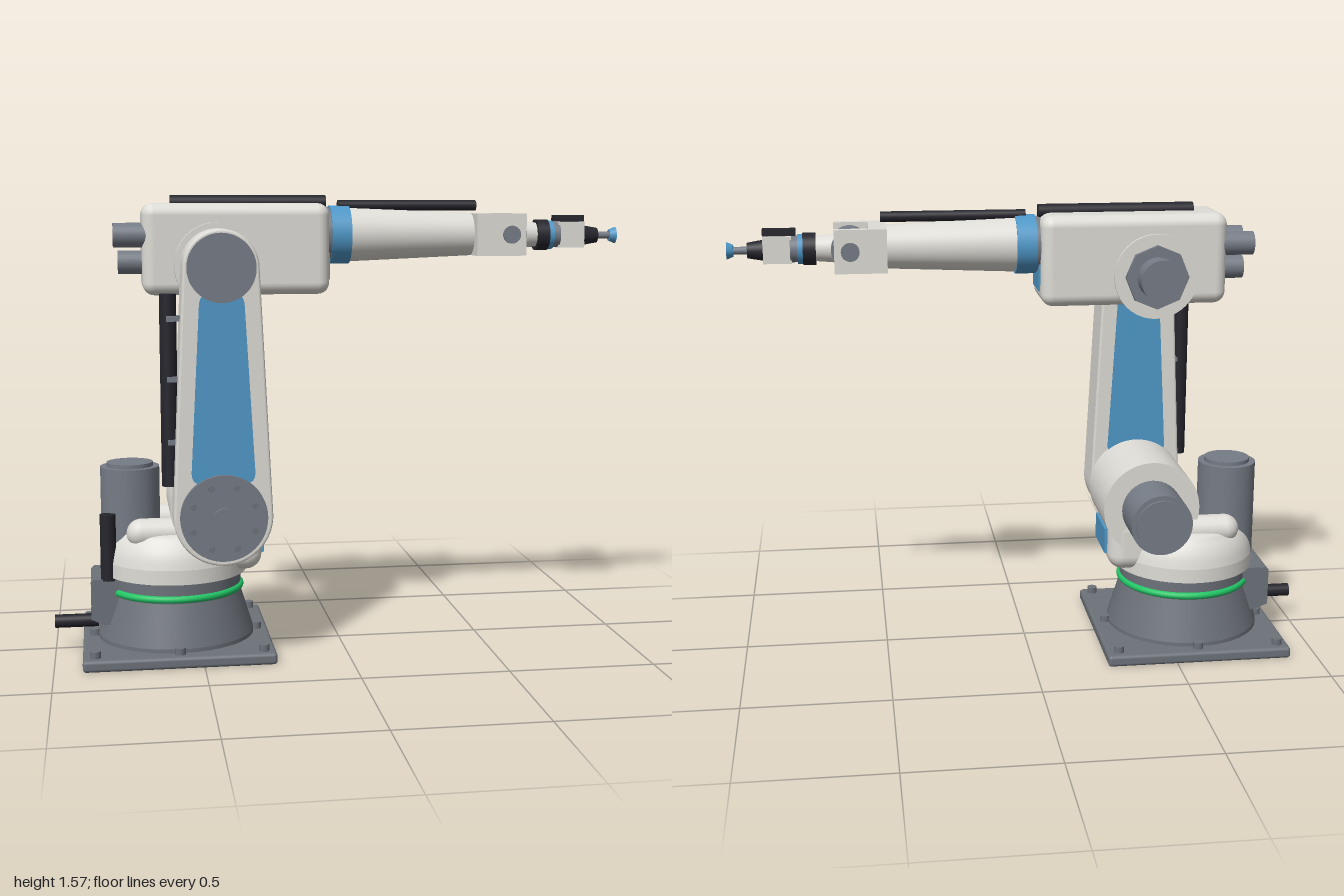
import * as THREE from 'three';
import { RoundedBoxGeometry } from 'three/addons/geometries/RoundedBoxGeometry.js';

const material = (name, color) => {
  const m = new THREE.MeshStandardMaterial({ color });
  m.name = name;
  return m;
};

export function createModel() {
  const model = new THREE.Group();
  model.name = 'robotArm';
  const white = material('warmWhite', 0xdedcd6);
  const grey = material('castGrey', 0x6d727a);
  const steel = material('motorGrey', 0x767c86);
  const dark = material('blackRubber', 0x25252d);
  const blue = material('panelBlue', 0x4f98c8);
  const green = material('signalGreen', 0x22c566);

  const Z = -0.012; // depth of the main axis
  const BX = -0.58; // base axis
  const JX = -0.432, SY = 0.515, EY = 1.338; // shoulder and elbow joints
  const AY = 1.437; // forearm axis

  const add = (name, mat, geometry, x = 0, y = 0, z = 0, parent = model) => {
    const mesh = new THREE.Mesh(geometry, mat);
    mesh.name = name;
    mesh.position.set(x, y, z);
    parent.add(mesh);
    return mesh;
  };
  const box = (name, mat, w, h, d, x, y, z, r = 0) =>
    add(name, mat, r ? new RoundedBoxGeometry(w, h, d, 4, r) : new THREE.BoxGeometry(w, h, d), x, y, z);
  // Cylinder from a to b along an axis; u and v are its other two coordinates
  const cyl = (name, mat, axis, a, b, u, v, r0, r1 = r0, sides = 40) => {
    const g = new THREE.CylinderGeometry(r1, r0, b - a, sides);
    const m = (a + b) / 2;
    if (axis === 'x') return add(name, mat, g.rotateZ(-Math.PI / 2), m, u, v);
    if (axis === 'z') return add(name, mat, g.rotateX(Math.PI / 2), u, v, m);
    return add(name, mat, g, u, m, v);
  };

  // Base plate, bolts and pedestal
  box('basePlate', grey, 0.65, 0.04, 0.65, BX, 0.022, Z, 0.012);
  for (const i of [-1, 0, 1]) for (const j of [-1, 0, 1]) {
    if (i || j) cyl('baseBolt', grey, 'y', 0.03, 0.065, BX + i * 0.283, Z + j * 0.283, 0.018, 0.018, 12);
  }
  const pedestal = [[0, 0.04], [0.272, 0.04], [0.272, 0.055], [0.228, 0.2], [0.228, 0.275], [0, 0.275]];
  for (let i = 0; i < pedestal.length - 1; i++) {
    add('pedestal', grey, new THREE.LatheGeometry(
      pedestal.slice(i, i + 2).map(p => new THREE.Vector2(...p)), 48), BX, 0, Z);
  }
  add('statusRing', green, new THREE.TorusGeometry(0.226, 0.013, 12, 64).rotateX(Math.PI / 2), BX, 0.215, Z);

  // Connection box with a sloping lower back, and the supply cable
  const connection = new THREE.Shape([[-0.875, 0.125], [-0.83, 0.105], [-0.76, 0.105], [-0.76, 0.265], [-0.865, 0.265], [-0.875, 0.255]]
    .map(p => new THREE.Vector2(...p)));
  add('connectionBox', grey, new THREE.ExtrudeGeometry(connection, { depth: 0.22, bevelEnabled: false }), 0, 0, Z - 0.11);
  cyl('supplyCable', dark, 'x', -1, -0.85, 0.11, 0.04, 0.023);
  cyl('baseCable', dark, 'y', 0.26, 0.49, -0.813, 0.08, 0.027);

  // Turret
  add('turretRim', white, new THREE.CylinderGeometry(0.247, 0.247, 0.05, 48), BX, 0.295, Z);
  const dome = new THREE.SplineCurve([[0.247, 0.32], [0.235, 0.365], [0.21, 0.405], [0.17, 0.43], [0, 0.44]]
    .map(p => new THREE.Vector2(...p)));
  add('turretDome', white, new THREE.LatheGeometry(dome.getPoints(20), 48), BX, 0, Z);
  for (const s of [-1, 1]) {
    add('turretShoulder', white, new THREE.CapsuleGeometry(0.05, 0.27, 8, 20).rotateZ(Math.PI / 2), -0.565, 0.428, Z + s * 0.125);
  }
  box('turretNose', white, 0.27, 0.2, 0.3, -0.42, 0.385, Z, 0.055);
  box('nosePanel', blue, 0.012, 0.09, 0.185, -0.281, 0.385, Z);
  cyl('turretMotor', steel, 'y', 0.3, 0.642, -0.733, Z, 0.102);
  cyl('turretMotorCap', steel, 'y', 0.642, 0.656, -0.733, Z, 0.08);

  // Shoulder housing and motor
  cyl('shoulderHousing', white, 'z', -0.16, 0.155, JX, SY, 0.17, 0.17, 56);
  cyl('shoulderMotor', steel, 'z', -0.335, -0.16, JX, SY, 0.106);
  cyl('shoulderMotorCap', steel, 'z', -0.345, -0.335, JX, SY, 0.09);

  // Lower arm: a hull around the two joint circles
  const R = 0.157, r = 0.117, tilt = Math.asin((R - r) / (EY - SY));
  const armShape = new THREE.Shape();
  armShape.absarc(JX, SY, R, Math.PI - tilt, Math.PI * 2 + tilt, false);
  armShape.absarc(JX, EY, r, tilt, Math.PI - tilt, false);
  add('lowerArm', white, new THREE.ExtrudeGeometry(armShape, {
    depth: 0.145, bevelThickness: 0.01, bevelSize: 0.008, bevelSegments: 3, curveSegments: 32,
  }), 0, 0, 0.16);

  // Coloured panels on both faces of the lower arm
  const panel = new THREE.Shape();
  panel.moveTo(JX - 0.075, 0.63);
  panel.lineTo(JX + 0.075, 0.63);
  panel.quadraticCurveTo(JX + 0.11, 0.63, JX + 0.104, 0.68);
  panel.lineTo(JX + 0.074, 1.22);
  panel.quadraticCurveTo(JX + 0.07, 1.255, JX + 0.04, 1.255);
  panel.lineTo(JX - 0.04, 1.255);
  panel.quadraticCurveTo(JX - 0.07, 1.255, JX - 0.074, 1.22);
  panel.lineTo(JX - 0.104, 0.68);
  panel.quadraticCurveTo(JX - 0.11, 0.63, JX - 0.075, 0.63);
  for (const z of [0.143, 0.313]) {
    add('armPanel', blue, new THREE.ExtrudeGeometry(panel, { depth: 0.008, bevelEnabled: false }), 0, 0, z);
  }

  // Joint covers
  cyl('shoulderCover', steel, 'z', 0.31, 0.336, JX, SY, 0.145, 0.145, 48);
  cyl('shoulderHub', steel, 'z', 0.336, 0.347, JX, SY, 0.036);
  for (let i = 0; i < 8; i++) {
    const a = (i + 0.5) * Math.PI / 4;
    cyl('coverBolt', grey, 'z', 0.33, 0.343, JX + 0.11 * Math.cos(a), SY + 0.11 * Math.sin(a), 0.011, 0.011, 10);
  }
  cyl('elbowCover', steel, 'z', 0.31, 0.334, JX, EY, 0.113, 0.113, 48);

  // Hose behind the lower arm with clips
  cyl('armHose', dark, 'y', 0.61, 1.25, -0.603, 0.22, 0.028);
  for (const y of [0.76, 0.97, 1.17]) box('hoseClip', steel, 0.06, 0.018, 0.06, -0.58, y, 0.225);

  // Elbow
  cyl('elbowHousing', white, 'z', -0.152, 0.155, JX, EY, 0.144, 0.144, 48);
  cyl('elbowFlange', steel, 'z', -0.172, -0.152, JX, EY, 0.108, 0.108, 8);
  cyl('elbowMotor', steel, 'z', -0.245, -0.172, JX, EY, 0.07);

  // Upper arm housing, rear motors and top hoses
  box('upperHousing', white, 0.635, 0.308, 0.255, -0.362, 1.391, Z, 0.04);
  box('housingPanel', blue, 0.008, 0.13, 0.145, -0.043, 1.35, Z);
  for (const s of [-1, 1]) cyl('wristMotor', steel, 'x', -0.775, -0.66, 1.438, Z + s * 0.077, 0.04, 0.04, 28);
  cyl('wristMotor', steel, 'x', -0.76, -0.66, 1.345, Z, 0.04, 0.04, 28);
  cyl('housingHose', dark, 'x', -0.58, -0.045, 1.547, Z, 0.025, 0.025, 24);
  cyl('forearmHose', dark, 'x', -0.002, 0.488, 1.537, Z, 0.018, 0.018, 24);

  // Forearm
  cyl('forearmFlange', steel, 'x', -0.05, -0.033, AY, Z, 0.094);
  cyl('forearmRing', blue, 'x', -0.033, 0.035, AY, Z, 0.1);
  cyl('forearmTube', white, 'x', 0.035, 0.49, AY, Z, 0.093, 0.073);

  // Wrist fork and knuckle
  box('forkBridge', white, 0.06, 0.146, 0.222, 0.5, AY, Z);
  for (const s of [-1, 1]) {
    box('forkProng', white, 0.175, 0.146, 0.03, 0.5575, AY, Z + s * 0.096);
    const p = Z + s * 0.115;
    cyl('wristPin', steel, 'z', p - 0.006, p + 0.006, 0.592, AY, 0.031, 0.031, 20);
  }
  cyl('wristKnuckle', steel, 'z', Z - 0.081, Z + 0.081, 0.592, AY, 0.063);
  cyl('wristNeck', white, 'x', 0.62, 0.71, AY - 0.002, Z, 0.05, 0.042);

  // Tool flange and gripper
  const toolY = 1.434;
  cyl('toolFlange', dark, 'x', 0.705, 0.748, toolY, Z, 0.054);
  cyl('toolRing', blue, 'x', 0.748, 0.766, toolY, Z, 0.05);
  cyl('toolAdapter', steel, 'x', 0.766, 0.79, toolY, Z, 0.044);
  box('gripperBody', white, 0.095, 0.09, 0.055, 0.833, toolY, Z);
  box('gripperValve', dark, 0.11, 0.022, 0.036, 0.826, 1.492, Z);
  box('valveFoot', steel, 0.06, 0.02, 0.03, 0.833, 1.477, Z);
  cyl('gripperNose', dark, 'x', 0.88, 0.932, 1.432, Z, 0.035, 0.026, 24);
  cyl('suctionStem', steel, 'x', 0.93, 0.985, 1.432, Z, 0.013, 0.013, 20);
  cyl('suctionCup', blue, 'x', 0.978, 1, 1.432, Z, 0.02, 0.029, 24);

  return model;
}
